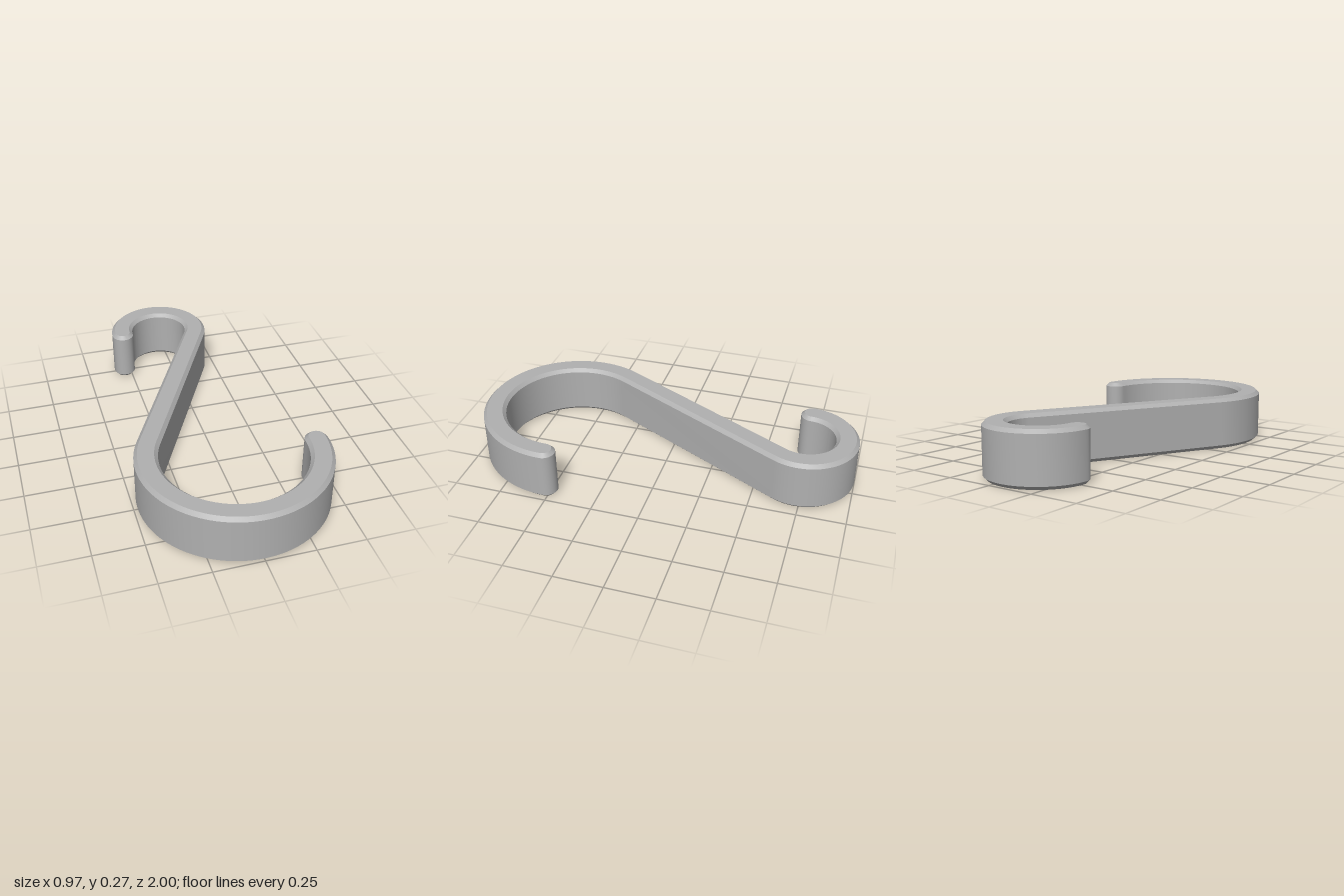
import * as THREE from 'three';
import { toCreasedNormals } from 'three/addons/utils/BufferGeometryUtils.js';

const HEIGHT = 0.27, BEVEL = 0.018, HALF = 0.059; // HALF = half the band width

// Points along an arc; negative sweep runs clockwise
function arc(centre, radius, from, to, steps, skipEnds = false) {
  const points = [];
  for (let i = skipEnds ? 1 : 0; i <= (skipEnds ? steps - 1 : steps); i++) {
    const a = from + (to - from) * i / steps;
    points.push(new THREE.Vector2(centre.x + radius * Math.cos(a), centre.y + radius * Math.sin(a)));
  }
  return points;
}

export function createModel() {
  const group = new THREE.Group();
  group.name = 'sHook';
  const grey = new THREE.MeshStandardMaterial({ color: 0xb0b0b0 });
  grey.name = 'grey';

  // Centre lines of the two hooks, drawn flat with the back of the model up
  const big = new THREE.Vector2(0, -0.517), bigR = 0.424;
  const small = new THREE.Vector2(-0.0725, 0.7275), smallR = 0.2135;

  // Direction of the normal of the straight shank that crosses between them
  const d = small.clone().sub(big);
  const n = d.angle() + Math.acos((bigR + smallR) / d.length());
  const bigStart = 2 * Math.PI, smallStart = n - Math.PI;

  // Outline: one side of the band, a round tip, the other side, a round tip
  const tipSmall = new THREE.Vector2(small.x - smallR, small.y);
  const tipBig = new THREE.Vector2(big.x + bigR, big.y);
  const outline = [
    ...arc(big, bigR + HALF, bigStart, n, 64),
    ...arc(small, smallR - HALF, smallStart, Math.PI, 64),
    ...arc(tipSmall, HALF, 0, -Math.PI, 16, true),
    ...arc(small, smallR + HALF, Math.PI, smallStart, 64),
    ...arc(big, bigR - HALF, n, bigStart, 64),
    ...arc(tipBig, HALF, Math.PI, 0, 16, true),
  ];

  // Chamfered band, laid flat on the ground
  const geometry = new THREE.ExtrudeGeometry(new THREE.Shape(outline), {
    depth: HEIGHT - 2 * BEVEL,
    bevelEnabled: true,
    bevelThickness: BEVEL,
    bevelSize: BEVEL,
    bevelOffset: -BEVEL,
    bevelSegments: 1,
  });
  geometry.translate(0, 0, BEVEL);
  geometry.rotateX(-Math.PI / 2);

  const hook = new THREE.Mesh(toCreasedNormals(geometry, Math.PI / 6), grey);
  hook.name = 'hookBand';
  group.add(hook);
  return group;
}
